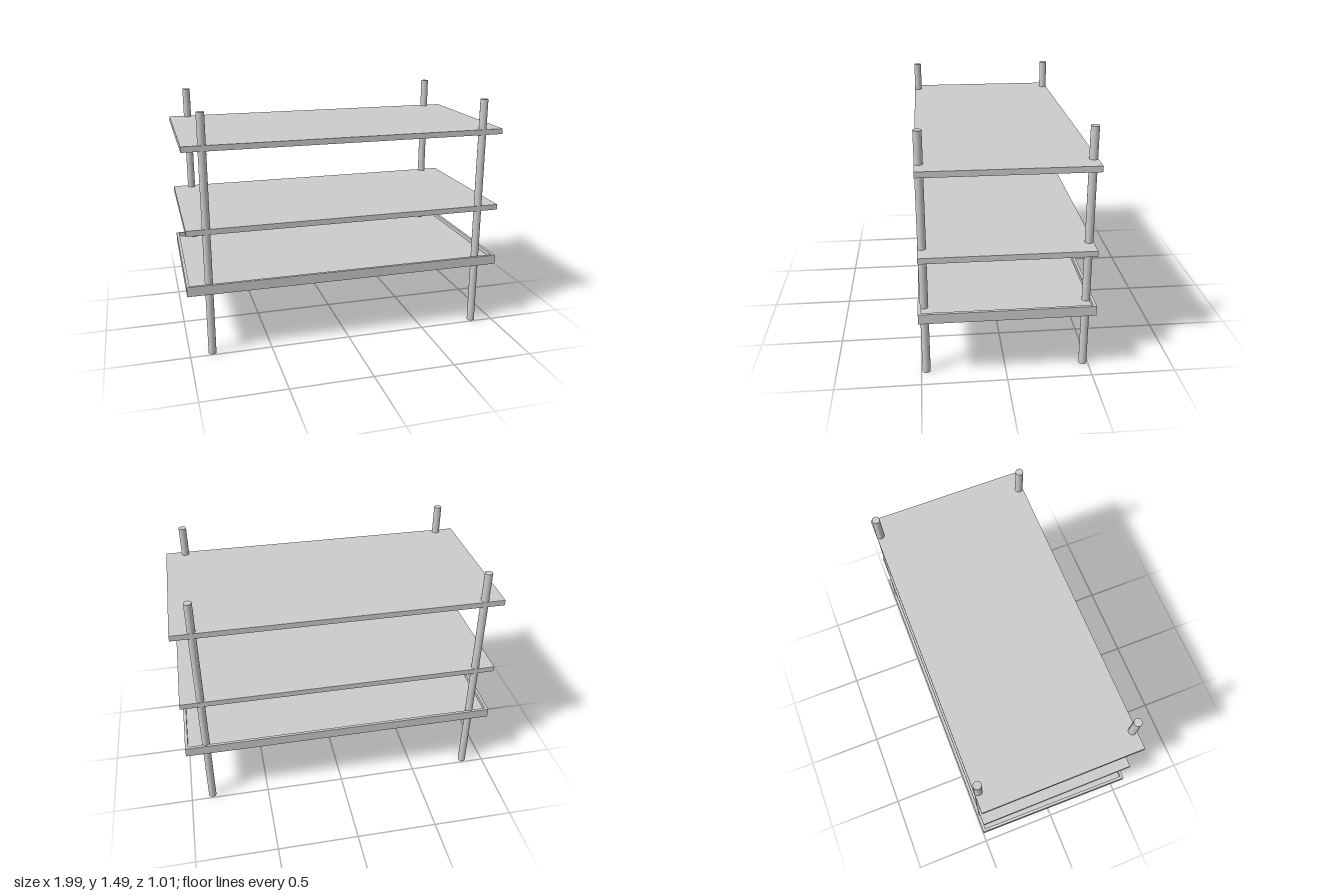
import * as THREE from 'three';

export function createModel() {
  const group = new THREE.Group();
  const mat = new THREE.MeshStandardMaterial({ color: 0xcccccc });

  const add = (name, geometry, x, y, z) => {
    const mesh = new THREE.Mesh(geometry, mat);
    mesh.name = name;
    mesh.position.set(x, y, z);
    group.add(mesh);
    return mesh;
  };
  const board = (name, w, h, d, x, y, z) => add(name, new THREE.BoxGeometry(w, h, d), x, y, z);

  // Four round posts, flush with the long edges of the shelves
  const postHeight = 1.485;
  for (const [sx, side] of [[1, 'Left'], [-1, 'Right']]) {
    for (const [sz, end] of [[1, 'front'], [-1, 'back']]) {
      add(end + side + 'Post', new THREE.CylinderGeometry(0.024, 0.024, postHeight, 32),
        sx * 0.865, postHeight / 2, sz * 0.47);
    }
  }

  // Two flat shelves and the floor of the bottom tray
  const width = 1.975, depth = 0.99, thick = 0.034, cx = 0.0025;
  board('topShelf', width, thick, depth, cx, 1.282, 0);
  board('middleShelf', width, thick, depth, cx, 0.788, 0);
  board('trayFloor', width, thick, depth, cx, 0.418, 0);

  // Raised rim around the tray
  const rimH = 0.06, rimY = 0.43, rimT = 0.018;
  board('frontRim', width, rimH, rimT, cx, rimY, 0.505 - rimT / 2);
  board('backRim', width, rimH, rimT, cx, rimY, -0.505 + rimT / 2);
  board('leftRim', rimT, rimH, 1.01, 0.995 - rimT / 2, rimY, 0);
  // The right rim sits very slightly askew
  board('rightRim', rimT, rimH, 1.01, -0.993 + rimT / 2, rimY, 0).rotation.y = -0.01;

  return group;
}
